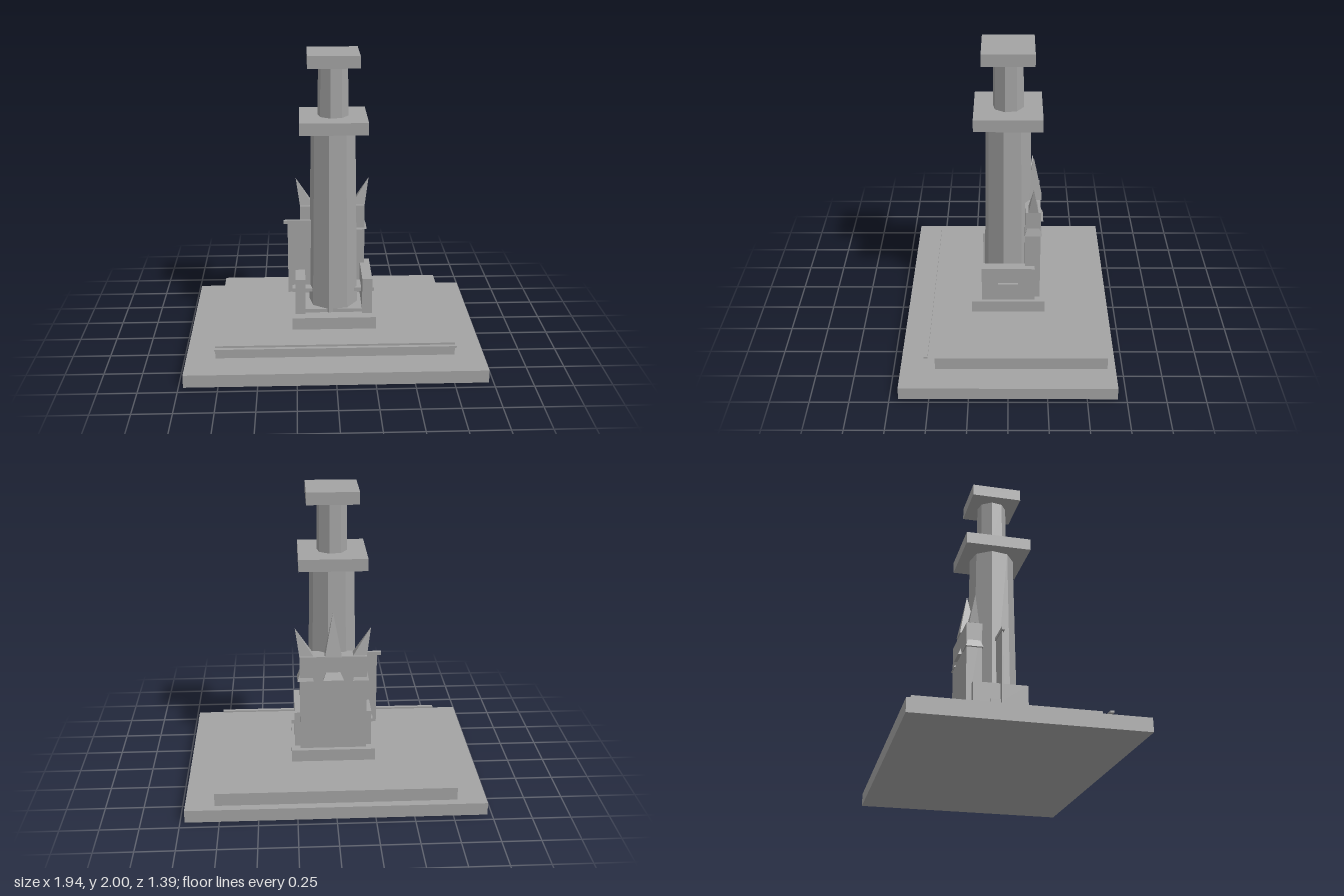
import * as THREE from 'three';

export function createModel() {
  const root = new THREE.Group();
  root.name = 'monument';
  const stone = new THREE.MeshStandardMaterial({ color: 0xa3a3a3 });
  stone.name = 'grey stone';

  function add(name, geometry) {
    const mesh = new THREE.Mesh(geometry, stone);
    mesh.name = name;
    root.add(mesh);
    return mesh;
  }

  // Box given by its lower and upper limits on each axis
  function box(name, x0, x1, y0, y1, z0, z1) {
    const g = new THREE.BoxGeometry(Math.abs(x1 - x0), y1 - y0, z1 - z0);
    g.translate((x0 + x1) / 2, (y0 + y1) / 2, (z0 + z1) / 2);
    return add(name, g);
  }

  // Flat-faced tapering octagonal column, turned slightly
  function column(name, rTop, rBottom, y0, y1) {
    const g = new THREE.CylinderGeometry(rTop, rBottom, y1 - y0, 8).toNonIndexed();
    g.rotateY(-0.2);
    g.translate(0, (y0 + y1) / 2, 0);
    g.computeVertexNormals();
    return add(name, g);
  }

  // Four-sided frustum; the top may be moved sideways (top size 0 gives a spike)
  function frustum(name, x, z, y0, y1, w, d, topScale, shiftX = 0) {
    const g = new THREE.CylinderGeometry(topScale * Math.SQRT1_2, Math.SQRT1_2, 1, 4).toNonIndexed();
    g.rotateY(Math.PI / 4);
    g.scale(w, y1 - y0, d);
    g.translate(0, (y1 - y0) / 2, 0);
    const p = g.attributes.position;
    for (let i = 0; i < p.count; i++) {
      p.setX(i, p.getX(i) + shiftX * p.getY(i) / (y1 - y0));
    }
    g.translate(x, y0, z);
    g.computeVertexNormals();
    return add(name, g);
  }

  // Stepped base with a low rail along the front
  box('lowerStep', -0.97, 0.97, 0, 0.085, -0.693, 0.693);
  box('upperStep', -0.78, 0.78, 0.085, 0.172, -0.64, 0.47);
  box('frontRail', -0.78, 0.78, 0.17, 0.182, 0.515, 0.54);
  box('plinth', -0.28, 0.28, 0.172, 0.255, -0.247, 0.247);
  box('columnFooting', -0.19, 0.19, 0.255, 0.28, -0.12, 0.158);

  // Column with two square slabs
  column('lowerColumn', 0.148, 0.167, 0.255, 1.505);
  box('middleSlab', -0.22, 0.22, 1.505, 1.585, -0.22, 0.22);
  column('upperColumn', 0.098, 0.101, 1.585, 1.92);
  box('topSlab', -0.167, 0.167, 1.92, 2, -0.167, 0.167);

  // Side blocks, each pierced by a bar
  for (const s of [-1, 1]) {
    box('sideBlock', s * 0.19, s * 0.257, 0.255, 0.503, -0.178, 0.178);
    box('sideBar', s * 0.14, s * 0.278, 0.367, 0.392, -0.067, 0.067);
  }

  // Hanging banner and its pole on one side
  box('banner', -0.305, -0.14, 0.34, 0.86, -0.004, 0.004);
  box('bannerPole', -0.333, -0.14, 0.84, 0.862, -0.01, 0.01);

  // Rear wall with a tall middle spike and outward-leaning corner spikes
  box('rearWall', -0.22, 0.22, 0.255, 0.92, -0.214, -0.112);
  frustum('middleSpike', 0, -0.168, 0.92, 1.212, 0.11, 0.11, 0);
  frustum('middleFlare', 0, -0.168, 0.76, 0.81, 0.136, 0.136, 0.68);
  for (const s of [-1, 1]) {
    frustum('cornerSpike', s * 0.176, -0.165, 0.92, 1.107, 0.09, 0.064, 0, s * 0.072);
    frustum('cornerFlare', s * 0.182, -0.165, 0.75, 0.8, 0.108, 0.114, 0.7);
  }
  return root;
}
